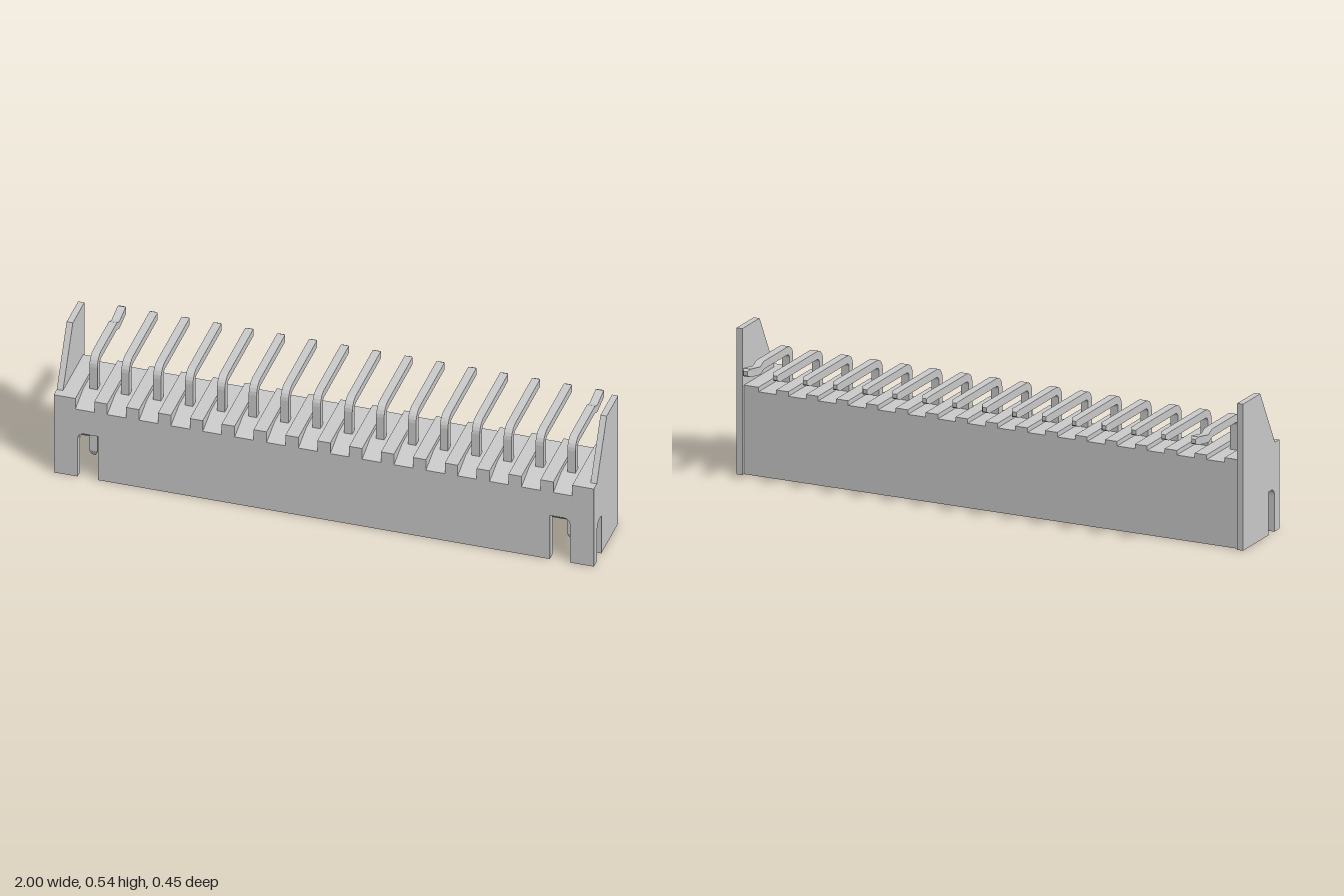
import * as THREE from 'three';

const material = new THREE.MeshStandardMaterial({ color: 0xcccccc, flatShading: true });
const PINS = 16, PITCH = 0.118, PLATE = 0.023, INNER = 1 - PLATE;

function part(name, geometry, parent) {
  const mesh = new THREE.Mesh(geometry, material);
  mesh.name = name;
  parent.add(mesh);
  return mesh;
}

function box(x0, x1, y0, y1, z0, z1) {
  return new THREE.BoxGeometry(x1 - x0, y1 - y0, z1 - z0)
    .translate((x0 + x1) / 2, (y0 + y1) / 2, (z0 + z1) / 2);
}

// Extrudes a side profile, given as a shape in (-z, y), from x0 to x1.
function extrudeX(shape, x0, x1) {
  return new THREE.ExtrudeGeometry(shape, { depth: x1 - x0, bevelEnabled: false, curveSegments: 6 })
    .rotateY(Math.PI / 2).translate(x0, 0, 0);
}

const profile = (points) => new THREE.Shape(points.map(([z, y]) => new THREE.Vector2(-z, y)));

// End plate with a sloped upper edge and a round-cornered slot at the foot.
function endPlateShape() {
  const s = new THREE.Shape();
  s.moveTo(-0.225, 0);
  s.lineTo(-0.185, 0);
  s.lineTo(-0.185, 0.135);
  s.quadraticCurveTo(-0.185, 0.16, -0.16, 0.16);
  s.lineTo(-0.137, 0.16);
  s.lineTo(-0.137, 0);
  s.lineTo(0.063, 0);
  s.lineTo(0.063, 0.543);
  s.lineTo(-0.073, 0.543);
  s.lineTo(-0.19, 0.33);
  s.lineTo(-0.225, 0.33);
  s.closePath();
  return s;
}

// Front wall with a latch slot near each end.
function frontWallShape(top) {
  const s = new THREE.Shape();
  s.moveTo(-INNER, 0);
  s.lineTo(-0.912, 0);
  s.lineTo(-0.912, 0.155);
  s.quadraticCurveTo(-0.912, 0.185, -0.885, 0.185);
  s.lineTo(-0.837, 0.185);
  s.lineTo(-0.837, 0);
  s.lineTo(0.837, 0);
  s.lineTo(0.837, 0.185);
  s.lineTo(0.885, 0.185);
  s.quadraticCurveTo(0.912, 0.185, 0.912, 0.155);
  s.lineTo(0.912, 0);
  s.lineTo(INNER, 0);
  s.lineTo(INNER, top);
  s.lineTo(-INNER, top);
  s.closePath();
  return s;
}

// Square wire lofted through rings of [z, y, angle, half width].
function loftWire(rings) {
  const pos = [], index = [];
  const corners = [[1, 1], [-1, 1], [-1, -1], [1, -1]];
  for (const [z, y, a, h] of rings)
    for (const [n, x] of corners)
      pos.push(x * h, y + n * h * Math.sin(a), z + n * h * Math.cos(a));
  const last = (rings.length - 1) * 4;
  for (let r = 0; r < last; r += 4)
    for (let j = 0; j < 4; j++) {
      const k = (j + 1) % 4;
      index.push(r + j, r + k, r + 4 + k, r + j, r + 4 + k, r + 4 + j);
    }
  index.push(0, 3, 2, 0, 2, 1, last, last + 1, last + 2, last, last + 2, last + 3);
  const g = new THREE.BufferGeometry();
  g.setAttribute('position', new THREE.Float32BufferAttribute(pos, 3));
  g.setIndex(index);
  const flat = g.toNonIndexed();
  flat.computeVertexNormals();
  return flat;
}

// Right-angle pin with tapered ends; the outermost pins have a retaining kink.
function pinGeometry(kinked) {
  const h = 0.0148, up = Math.PI / 2;
  const rings = [[0.11, 0.03, 0, 0.007], [0.11, 0.05, 0, h]];
  for (let i = 0; i <= 5; i++) {
    const a = (i / 5) * up;
    rings.push([0.08 + 0.03 * Math.cos(a), 0.405 + 0.03 * Math.sin(a), a, h]);
  }
  if (kinked) rings.push([-0.107, 0.435, up, h], [-0.135, 0.422, up, h]);
  rings.push([-0.212, 0.435, up, h], [-0.224, 0.435, up, 0.008]);
  return loftWire(rings);
}

export function createModel() {
  const model = new THREE.Group();
  model.name = 'pinHeader';

  // Housing, open at the bottom
  const housing = new THREE.Group();
  housing.name = 'housing';
  model.add(housing);
  const roofBase = 0.235;
  part('frontWall', new THREE.ExtrudeGeometry(frontWallShape(roofBase),
    { depth: 0.03, bevelEnabled: false, curveSegments: 6 }).translate(0, 0, 0.195), housing);
  part('backWall', extrudeX(profile([
    [-0.02, roofBase], [-0.02, 0.012], [-0.032, 0], [-0.05, 0], [-0.05, roofBase],
  ]), -INNER, INNER), housing);
  part('roof', extrudeX(profile([
    [0.225, roofBase], [0.225, 0.285], [0.13, 0.313], [-0.05, 0.313], [-0.05, roofBase],
  ]), -INNER, INNER), housing);
  part('rightEndPlate', extrudeX(endPlateShape(), -1, -INNER), housing);
  part('leftEndPlate', extrudeX(endPlateShape(), INNER, 1), housing);

  // Ribs on the roof leave one groove for each pin
  const groove = 0.035;
  for (let i = 0; i <= PINS; i++) {
    const right = (i - PINS / 2 - 0.5) * PITCH + groove;
    const x0 = i === 0 ? -INNER : right;
    const x1 = i === PINS ? INNER : right + PITCH - 2 * groove;
    part('roofRib', box(x0, x1, 0.285, 0.33, -0.05, 0.225), housing);
  }

  // Row of pins
  const pins = new THREE.Group();
  pins.name = 'pins';
  model.add(pins);
  const straight = pinGeometry(false), kinked = pinGeometry(true);
  for (let i = 0; i < PINS; i++) {
    const isEnd = i === 0 || i === PINS - 1;
    const pin = part(isEnd ? 'retainingPin' : 'pin', isEnd ? kinked : straight, pins);
    pin.position.x = (i - (PINS - 1) / 2) * PITCH;
  }
  return model;
}
